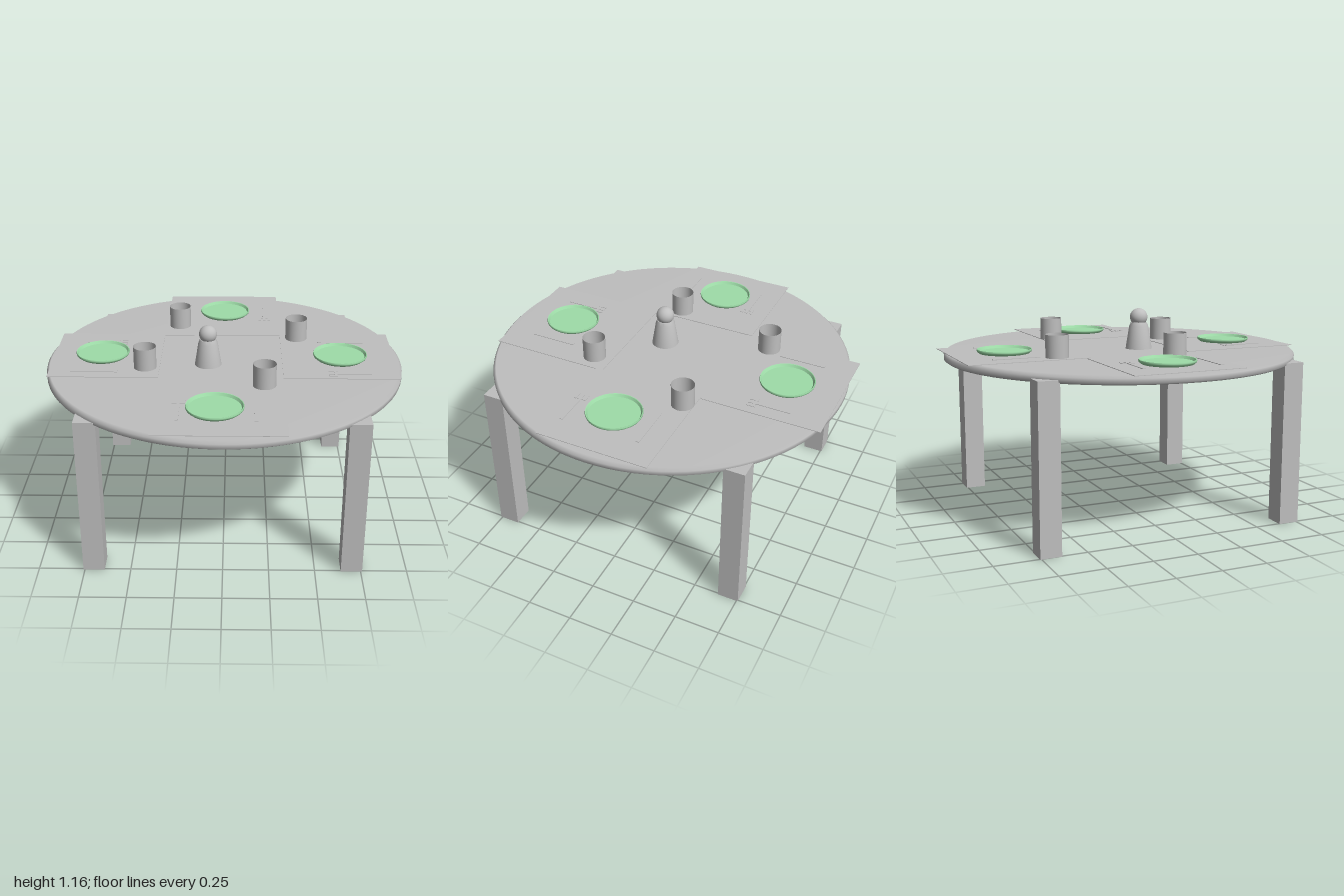
import * as THREE from 'three';
import { toCreasedNormals } from 'three/addons/utils/BufferGeometryUtils.js';

const grey = new THREE.MeshStandardMaterial({ color: 0xbfbfbf });
grey.name = 'grey';
const greyThin = grey; // one shared grey, visible from both sides for the open cups
greyThin.side = THREE.DoubleSide;
const green = new THREE.MeshStandardMaterial({ color: 0x9edca8 });
green.name = 'plate green';

function add(parent, name, geometry, material, x = 0, y = 0, z = 0) {
  const mesh = new THREE.Mesh(geometry, material);
  mesh.name = name;
  mesh.position.set(x, y, z);
  parent.add(mesh);
  return mesh;
}

const lathe = (points, segments) =>
  new THREE.LatheGeometry(points.map(([r, y]) => new THREE.Vector2(r, y)), segments);

const plateGeometry = toCreasedNormals(lathe([
  [0, 0], [0.138, 0], [0.15, 0.01], [0.152, 0.017], [0.15, 0.023],
  [0.146, 0.022], [0.138, 0.008], [0, 0.008],
], 48), 0.7);

// Flat fork, tines pointing to -z
function makeFork() {
  const fork = new THREE.Group();
  fork.name = 'fork';
  add(fork, 'forkHandle', new THREE.BoxGeometry(0.016, 0.003, 0.235), grey);
  add(fork, 'forkBridge', new THREE.BoxGeometry(0.07, 0.003, 0.014), grey, 0, 0, -0.08);
  for (const side of [-1, 1]) {
    add(fork, 'forkTine', new THREE.BoxGeometry(0.014, 0.003, 0.048), grey, side * 0.028, 0, -0.094);
  }
  return fork;
}

// Open cup with a floor
function makeCup() {
  const cup = new THREE.Group();
  cup.name = 'cup';
  add(cup, 'cupWall', new THREE.CylinderGeometry(0.063, 0.063, 0.125, 32, 1, true), greyThin, 0, 0.0625, 0);
  add(cup, 'cupFloor', new THREE.CircleGeometry(0.063, 32).rotateX(-Math.PI / 2), greyThin, 0, 0.003, 0);
  return cup;
}

// Each setting: mat bounds [x0, x1, z0, z1], the rest as [x, z]; turn faces it to the centre
const settings = [
  { name: 'front', y: 0.936, turn: 0, mat: [-0.355, 0.325, 0.27, 0.95],
    plate: [-0.04, 0.665], knife: [0.17, 0.67], fork: [-0.23, 0.68], cup: [0.22, 0.375] },
  { name: 'back', y: 0.935, turn: Math.PI, mat: [-0.355, 0.325, -0.99, -0.32],
    plate: [-0.005, -0.69], knife: [-0.235, -0.695], fork: [0.24, -0.68], cup: [-0.275, -0.48] },
  { name: 'right', y: 0.933, turn: -Math.PI / 2, mat: [-0.97, -0.36, -0.34, 0.275],
    plate: [-0.695, -0.03], knife: [-0.72, 0.205], fork: [-0.69, -0.215], cup: [-0.44, 0.14] },
  { name: 'left', y: 0.944, turn: Math.PI / 2, mat: [0.325, 0.96, -0.325, 0.305],
    plate: [0.655, 0.015], knife: [0.675, -0.195], fork: [0.692, 0.242], cup: [0.42, -0.265] },
];

function makeSetting({ name, y, turn, mat: [x0, x1, z0, z1], plate, knife, fork, cup }) {
  const group = new THREE.Group();
  group.name = name + 'Setting';
  add(group, 'placemat', new THREE.BoxGeometry(x1 - x0, 0.003, z1 - z0), grey,
    (x0 + x1) / 2, y - 0.0015, (z0 + z1) / 2);
  add(group, 'plate', plateGeometry, green, plate[0], y + 0.002, plate[1]);
  add(group, 'knife', new THREE.BoxGeometry(0.02, 0.003, 0.26), grey,
    knife[0], y + 0.002, knife[1]).rotation.y = turn;
  const forkGroup = makeFork();
  forkGroup.position.set(fork[0], y + 0.002, fork[1]);
  forkGroup.rotation.y = turn;
  const cupGroup = makeCup();
  cupGroup.position.set(cup[0], y, cup[1]);
  group.add(forkGroup, cupGroup);
  return group;
}

export function createModel() {
  const model = new THREE.Group();
  model.name = 'diningTable';

  // Round top, softly shaded across the rim
  add(model, 'tableTop', lathe([
    [0, 0.88], [0.985, 0.88], [1, 0.89], [1, 0.915], [0.985, 0.93], [0, 0.93],
  ], 96), grey);

  // Four square legs
  for (const sx of [-1, 1]) {
    for (const sz of [-1, 1]) {
      add(model, 'leg', new THREE.BoxGeometry(0.116, 0.9, 0.116), grey, sx * 0.7, 0.45, sz * 0.7);
    }
  }

  for (const setting of settings) model.add(makeSetting(setting));

  // Shaker in the middle
  const shaker = new THREE.Group();
  shaker.name = 'shaker';
  shaker.position.set(-0.09, 0.93, 0.085);
  add(shaker, 'shakerBody', toCreasedNormals(lathe([
    [0, 0], [0.075, 0], [0.054, 0.13], [0.045, 0.15], [0, 0.155],
  ], 32), 0.8), grey);
  add(shaker, 'shakerKnob', new THREE.SphereGeometry(0.05, 32, 20), grey, 0, 0.18, 0);
  model.add(shaker);

  return model;
}
